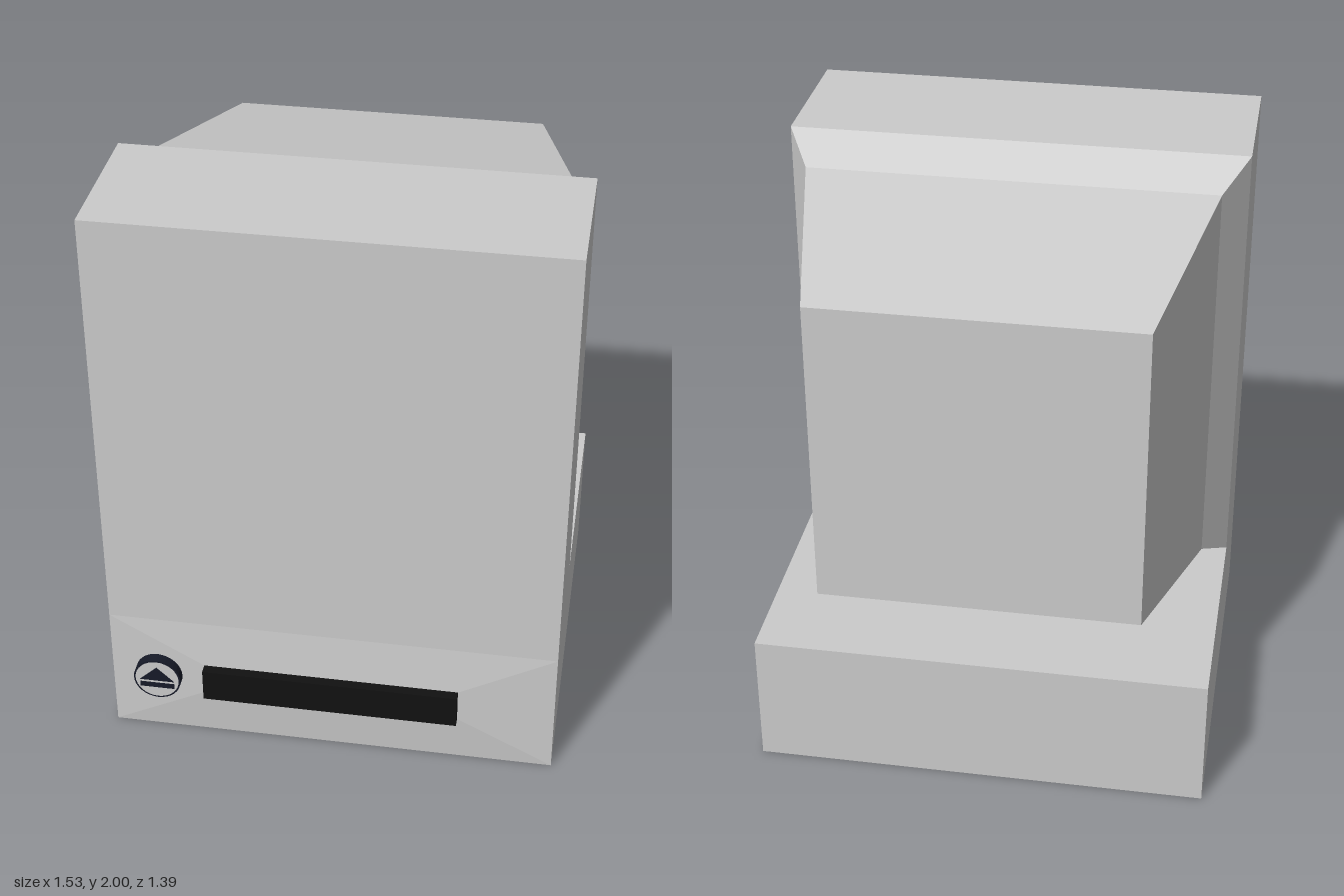
import * as THREE from 'three';

const paint = (color = 0xcccccc) => new THREE.MeshStandardMaterial({ color, flatShading: true });

// Solid through rectangular sections [z, halfWidth, bottom, top], listed back to front
function loft(sections) {
  const rings = sections.map(([z, w, b, t]) => [[-w, b, z], [w, b, z], [w, t, z], [-w, t, z]]);
  const pos = [];
  const quad = (a, b, c, d) => pos.push(...a, ...b, ...c, ...a, ...c, ...d);
  for (let i = 0; i < rings.length - 1; i++) {
    for (let k = 0; k < 4; k++) {
      const n = (k + 1) % 4;
      quad(rings[i][k], rings[i][n], rings[i + 1][n], rings[i + 1][k]);
    }
  }
  const first = rings[0], last = rings[rings.length - 1];
  quad(first[3], first[2], first[1], first[0]);
  quad(last[0], last[1], last[2], last[3]);
  const g = new THREE.BufferGeometry();
  g.setAttribute('position', new THREE.Float32BufferAttribute(pos, 3));
  g.computeVertexNormals();
  return g;
}

export function createModel() {
  const model = new THREE.Group();
  model.name = 'desktopComputer';
  const add = (name, geometry, material, x = 0, y = 0, z = 0, parent = model) => {
    const mesh = new THREE.Mesh(geometry, material);
    mesh.name = name;
    mesh.position.set(x, y, z);
    parent.add(mesh);
    return mesh;
  };
  const grey = paint(), black = paint(0x111111), navy = paint(0x161a28);

  // Base unit with a shallow faceted front
  add('baseUnit', loft([
    [-0.695, 0.765, 0, 0.47],
    [0.645, 0.765, 0, 0.47],
    [0.66, 0.438, 0.18, 0.3],
  ]), grey);

  // Monitor housing: straight front, chamfered shoulder, tapered back
  add('monitorHousing', loft([
    [-0.69, 0.537, 0.7, 1.77],
    [-0.01, 0.683, 0.55, 1.92],
    [0.13, 0.765, 0.47, 2],
    [0.645, 0.765, 0.47, 2],
  ]), grey);

  // Dark drive slot
  add('driveSlot', new THREE.BoxGeometry(0.875, 0.12, 0.045), black, 0, 0.24, 0.6725);

  // Round eject button: dark rim, grey face, raised symbol
  const button = new THREE.Group();
  button.name = 'ejectButton';
  button.position.set(-0.6, 0.24, 0);
  model.add(button);
  add('buttonRim', new THREE.CylinderGeometry(0.082, 0.082, 0.044, 32), navy, 0, 0, 0.666, button).rotation.x = Math.PI / 2;
  add('buttonFace', new THREE.CircleGeometry(0.076, 32), grey, 0, 0, 0.689, button);
  const arrow = new THREE.Shape([[-0.06, -0.005], [0.06, -0.005], [0, 0.052]].map(p => new THREE.Vector2(...p)));
  add('ejectArrow', new THREE.ExtrudeGeometry(arrow, { depth: 0.003, bevelEnabled: false }), navy, 0, 0, 0.688, button);
  add('ejectBar', new THREE.BoxGeometry(0.12, 0.02, 0.003), navy, 0, -0.025, 0.6895, button);

  return model;
}
